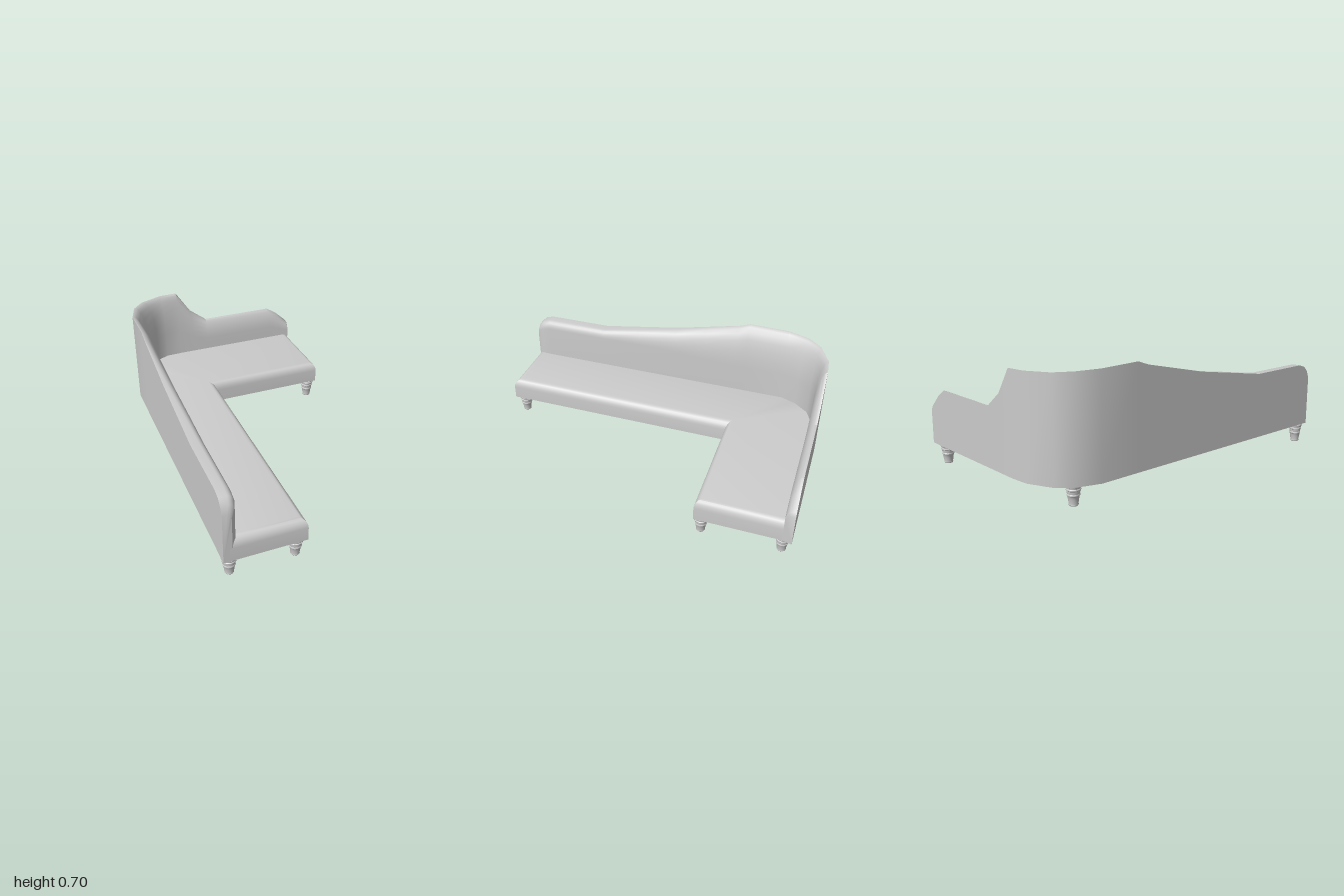
import * as THREE from 'three';
import { toCreasedNormals } from 'three/addons/utils/BufferGeometryUtils.js';

const FLOOR = 0.12; // underside of the upholstery

// Skin a list of equal-length closed rings and fan-cap both ends.
function loft(rings, crease) {
  const n = rings[0].length, index = [];
  for (let i = 0; i < rings.length - 1; i++) {
    for (let j = 0; j < n; j++) {
      const a = i * n + j, b = i * n + (j + 1) % n;
      index.push(a, b, a + n, b, b + n, a + n);
    }
  }
  const last = (rings.length - 1) * n;
  for (let j = 1; j < n - 1; j++) {
    index.push(0, j + 1, j);
    index.push(last, last + j, last + j + 1);
  }
  const geometry = new THREE.BufferGeometry();
  geometry.setAttribute('position', new THREE.Float32BufferAttribute(rings.flat(2), 3));
  geometry.setIndex(index);
  return toCreasedNormals(geometry, crease);
}

// L-shaped seat: outline corners [x, z, inset x, inset z], rounded upper edge.
function seatGeometry() {
  const outline = [
    [-0.14, -0.45, -1, -0.8], [0.585, -0.45, -0.8, -0.8], [0.585, -0.97, -0.8, 0],
    [-0.33, -0.965, 0, 0], [-0.44, -0.93, 0, 0], [-0.53, -0.85, 0, 0],
    [-0.565, -0.75, 1, 0], [-0.565, 1, 1, -1], [-0.14, 1, -1, -1],
  ];
  const levels = [[FLOOR, 0]];
  for (let s = 0; s <= 5; s++) {
    const t = s / 5 * Math.PI / 2;
    levels.push([0.2 + 0.055 * Math.sin(t), 0.045 * (1 - Math.cos(t))]);
  }
  return loft(levels.map(([y, d]) =>
    outline.map(([x, z, ix, iz]) => [x + ix * d, y, z + iz * d])), 0.6);
}

// Backrest: a section swept round the corner with varying height.
function backGeometry() {
  // station: outer x, z, inner x, z, height, slope (0 = flat top, 1 = full sweep)
  const stations = [];
  const side = [
    [1, 0.42, 0, -0.55], [0.98, 0.465, 0, -0.528], [0.95, 0.495, 0, -0.517], [0.9, 0.51, 0, -0.515],
    [0.5, 0.51, 0, -0.515], [0.25, 0.55, 0.25, -0.515], [0, 0.59, 0.5, -0.515],
    [-0.2, 0.635, 0.75, -0.515], [-0.4, 0.68, 0.95, -0.515], [-0.47, 0.705, 1, -0.515],
  ];
  for (const [z, h, k, inner] of side) stations.push([-0.6, z, inner, z, h, k]);
  stations.push(
    [-0.6, -0.71, -0.515, -0.73, 0.7, 1], [-0.56, -0.84, -0.48, -0.82, 0.697, 1],
    [-0.49, -0.925, -0.41, -0.905, 0.693, 1], [-0.35, -0.99, -0.335, -0.94, 0.69, 1],
  );
  const rear = [[-0.235, 0.688], [-0.14, 0.545], [-0.03, 0.46], [0.44, 0.46],
    [0.51, 0.415], [0.585, 0.345], [0.6, 0.32]];
  for (const [x, h] of rear) stations.push([x, -1, Math.min(x, 0.585), -0.945, h, 1]);

  return loft(stations.map(([ox, oz, ix, iz, h, k]) => {
    const rx = 0.45 + 0.55 * k, ry = (h - 0.25) * (0.2 + 0.4 * k);
    const at = (t, y) => [ox + (ix - ox) * t, y, oz + (iz - oz) * t];
    const ring = [at(0, FLOOR), at(0, h)];
    for (let s = 0; s <= 6; s++) {
      const a = s / 6 * Math.PI / 2;
      ring.push(at(Math.max(0.01, 1 - rx + rx * Math.sin(a)), h - ry * (1 - Math.cos(a))));
    }
    ring.push(at(1, FLOOR));
    return ring;
  }), 0.6);
}

// Turned, tapered leg with ring mouldings.
function legGeometry() {
  const profile = [
    [0, 0.003], [0.023, 0.003], [0.026, 0.008], [0.025, 0.014], [0.029, 0.04], [0.032, 0.055],
    [0.035, 0.058], [0.035, 0.064], [0.033, 0.067], [0.036, 0.083], [0.04, 0.086],
    [0.04, 0.092], [0.037, 0.095], [0.039, 0.104], [0.044, 0.107], [0.045, 0.113],
    [0.042, 0.117], [0.042, 0.122],
  ].map(([r, y]) => new THREE.Vector2(r, y));
  return toCreasedNormals(new THREE.LatheGeometry(profile, 12), 0.6);
}

export function createModel() {
  const group = new THREE.Group();
  group.name = 'cornerSofa';
  const material = new THREE.MeshStandardMaterial({ color: 0xcccccc });
  const add = (name, geometry) => {
    const mesh = new THREE.Mesh(geometry, material);
    mesh.name = name;
    group.add(mesh);
    return mesh;
  };

  add('seat', seatGeometry());
  add('backrest', backGeometry());

  const leg = legGeometry();
  const feet = [[-0.555, 0.95], [-0.19, 0.95], [-0.19, -0.485],
    [0.535, -0.485], [0.535, -0.945], [-0.495, -0.81]];
  for (const [x, z] of feet) add('leg', leg).position.set(x, 0, z);
  return group;
}
